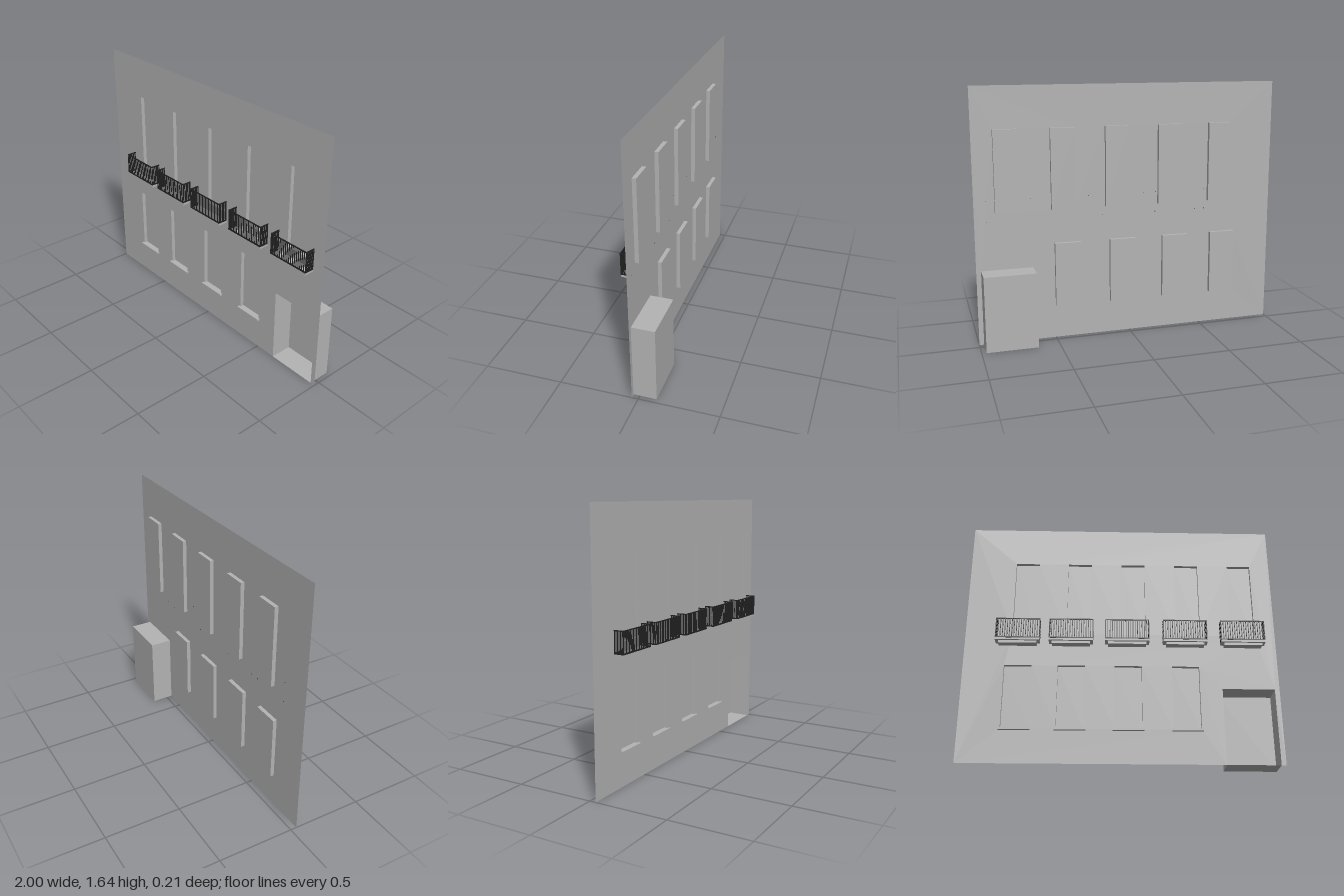
import * as THREE from 'three';

const WALL_Z = 0.04;

export function createModel() {
  const model = new THREE.Group();
  model.name = 'facade';
  const plaster = new THREE.MeshStandardMaterial({ color: 0xb3b3b3, side: THREE.DoubleSide });
  plaster.name = 'grey plaster';
  const iron = new THREE.MeshStandardMaterial({ color: 0x222222 });
  iron.name = 'dark iron';

  const add = (parent, name, geometry, material) => {
    const mesh = new THREE.Mesh(geometry, material);
    mesh.name = name;
    parent.add(mesh);
    return mesh;
  };
  // Box given by its limits on each axis
  const box = (x0, x1, y0, y1, z0, z1) =>
    new THREE.BoxGeometry(x1 - x0, y1 - y0, z1 - z0)
      .translate((x0 + x1) / 2, (y0 + y1) / 2, (z0 + z1) / 2);
  // Box without its front face, for reveals and the back of an opening
  const recess = (x0, x1, y0, y1, z0) => {
    const g = box(x0, x1, y0, y1, z0, WALL_Z);
    const index = Array.from(g.index.array);
    index.splice(24, 6);
    g.setIndex(index);
    g.clearGroups();
    return g;
  };

  // Openings: [x0, x1, y0, y1]
  const upper = [-0.7, -0.35, 0.005, 0.36, 0.715].map(x => [x, x + 0.155, 0.86, 1.38]);
  const lower = [-0.74, -0.4, -0.04, 0.325].map(x => [x, x + 0.173, 0.22, 0.64]);
  const door = [0.64, 0.97, 0, 0.49];

  // Thin wall with a doorway notch and window holes
  const outline = new THREE.Shape([
    [-1, 0], [door[0], 0], [door[0], door[3]], [door[1], door[3]], [door[1], 0],
    [1, 0], [1, 1.645], [-1, 1.645],
  ].map(p => new THREE.Vector2(...p)));
  for (const [x0, x1, y0, y1] of [...upper, ...lower]) {
    outline.holes.push(new THREE.Path(
      [[x0, y0], [x0, y1], [x1, y1], [x1, y0]].map(p => new THREE.Vector2(...p))));
  }
  add(model, 'wall', new THREE.ShapeGeometry(outline).translate(0, 0, WALL_Z), plaster);

  // Window and door recesses
  upper.forEach(o => add(model, 'upperWindow', recess(...o, 0.015), plaster));
  lower.forEach(o => {
    add(model, 'lowerWindow', recess(...o, 0.015), plaster);
    add(model, 'windowSill', box(o[0] - 0.01, o[1] + 0.01, 0.209, 0.222, WALL_Z, 0.058), plaster);
  });
  add(model, 'doorway', recess(...door, -0.105), plaster);

  // Balconies: stepped slab and an iron railing on three sides
  const W = 0.283, FRONT = 0.105, RAIL = 0.006, BAR = 0.0045;
  for (const x0 of [-0.802, -0.461, -0.102, 0.27, 0.641]) {
    const x1 = x0 + W;
    const balcony = new THREE.Group();
    balcony.name = 'balcony';
    model.add(balcony);
    add(balcony, 'balconySlab', box(x0, x1, 0.79, 0.803, WALL_Z, 0.104), plaster);
    add(balcony, 'slabSupport', box(x0 + 0.02, x1 - 0.02, 0.774, 0.79, WALL_Z, 0.09), plaster);

    // Top and bottom rails
    for (const [y0, y1] of [[0.803, 0.811], [0.935, 0.941]]) {
      add(balcony, 'frontRail', box(x0, x1, y0, y1, FRONT - RAIL, FRONT), iron);
      add(balcony, 'sideRail', box(x0, x0 + RAIL, y0, y1, WALL_Z, FRONT - RAIL), iron);
      add(balcony, 'sideRail', box(x1 - RAIL, x1, y0, y1, WALL_Z, FRONT - RAIL), iron);
    }
    // Front bars
    const count = 20;
    for (let i = 0; i < count; i++) {
      const x = x0 + (W - BAR) * i / (count - 1);
      add(balcony, 'frontBar', box(x, x + BAR, 0.811, 0.935, FRONT - BAR, FRONT), iron);
    }
    // Side bars
    for (let i = 0; i < 6; i++) {
      const z = WALL_Z + 0.001 + i * 0.0102;
      add(balcony, 'sideBar', box(x0, x0 + BAR, 0.811, 0.935, z, z + BAR), iron);
      add(balcony, 'sideBar', box(x1 - BAR, x1, 0.811, 0.935, z, z + BAR), iron);
    }
  }
  return model;
}
